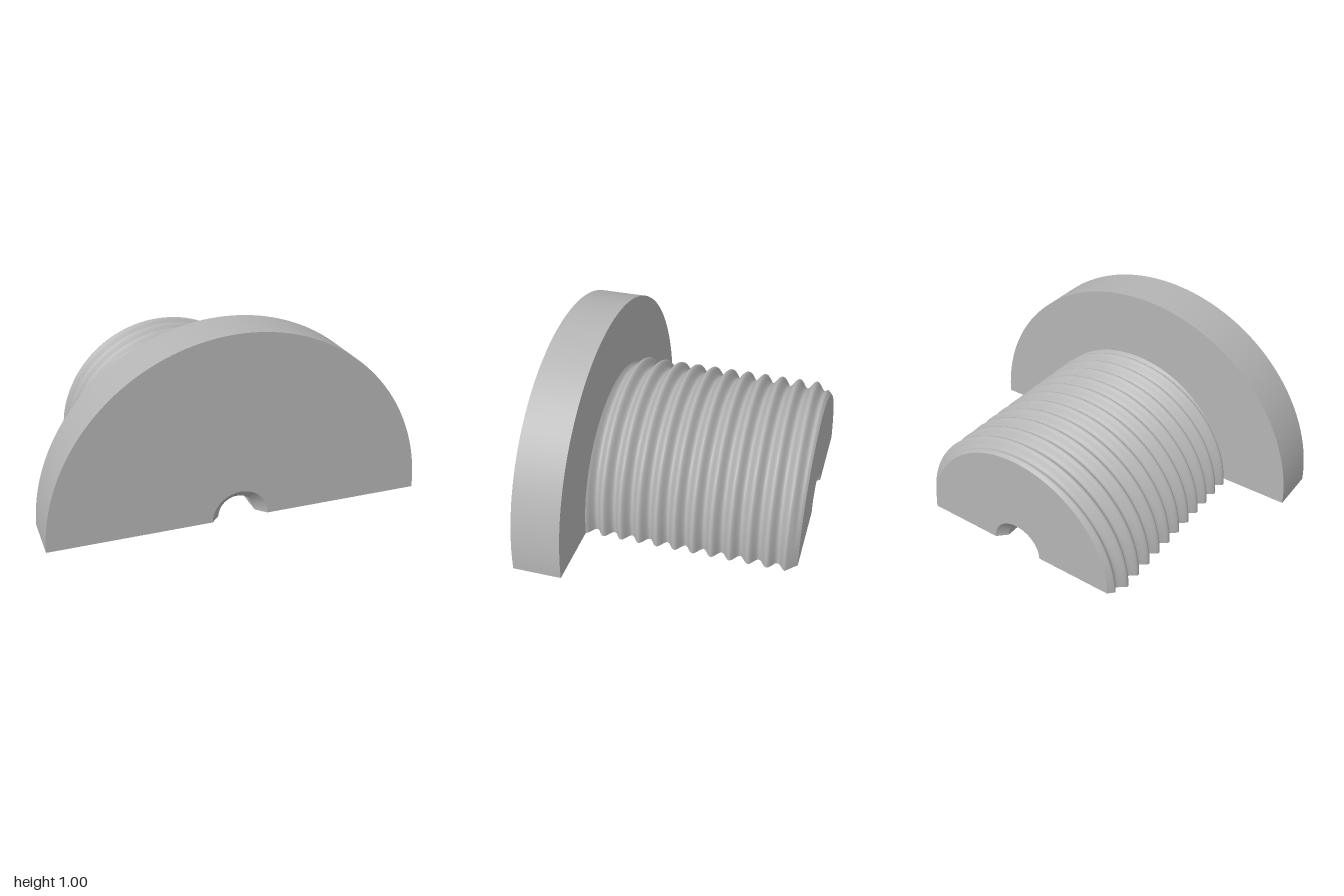
import * as THREE from 'three';
import { toCreasedNormals } from 'three/addons/utils/BufferGeometryUtils.js';

const FRONT = 0.71, BACK = -0.71, SHOULDER = 0.445;
const BORE = 0.1, SINK = 0.15, SINK_DEPTH = 0.05;
const PITCH = 0.1, ROOT = 0.598, DEPTH = 0.047, TIP = 0.585;
const STEPS = 176, SEGMENTS = 96;
const HOLE_X = 0.4, HOLE_Z = -0.13, HOLE_R = 0.065, HOLE_DEPTH = 0.2;

// Helical thread radius, cut by a 45 degree chamfer at the free end
function threadRadius(z, angle) {
  const phase = (z - 0.345) / PITCH - angle / (2 * Math.PI);
  const r = ROOT + DEPTH * (0.5 + 0.5 * Math.cos(2 * Math.PI * phase));
  return Math.min(r, TIP + (z - BACK));
}

const stepZ = i => BACK + (SHOULDER - BACK) * i / STEPS;

// Half turn of an [r, z] profile around the z axis, on the upper side
function halfTurn(points) {
  const g = new THREE.LatheGeometry(points.map(p => new THREE.Vector2(...p)), SEGMENTS, Math.PI / 2, Math.PI);
  return g.rotateX(Math.PI / 2);
}

function threadGeometry() {
  const points = [];
  for (let i = 0; i <= STEPS; i++) points.push([1, stepZ(i)]);
  const g = halfTurn(points), pos = g.attributes.position;
  for (let i = 0; i < pos.count; i++) {
    const angle = Math.atan2(Math.max(0, pos.getY(i)), pos.getX(i));
    const r = threadRadius(pos.getZ(i), angle);
    pos.setXY(i, r * Math.cos(angle), r * Math.sin(angle));
  }
  g.computeVertexNormals();
  return g;
}

// Flat split face on one side of the bore, with the thread outline and a pin hole
function splitFaceGeometry(side) {
  const angle = side > 0 ? 0 : Math.PI;
  const pts = [
    [BORE, BACK + SINK_DEPTH], [BORE, FRONT - SINK_DEPTH], [SINK, FRONT],
    [1, FRONT], [1, SHOULDER],
  ];
  for (let i = STEPS; i >= 0; i--) pts.push([threadRadius(stepZ(i), angle), stepZ(i)]);
  pts.push([SINK, BACK]);
  const shape = new THREE.Shape(pts.map(([x, z]) => new THREE.Vector2(side * x, z)));
  const hole = new THREE.Path();
  hole.absarc(side * HOLE_X, HOLE_Z, HOLE_R, 0, Math.PI * 2, true);
  shape.holes.push(hole);
  return new THREE.ShapeGeometry(shape, 24).rotateX(Math.PI / 2);
}

export function createModel() {
  const group = new THREE.Group();
  const steel = new THREE.MeshStandardMaterial({ color: 0xb4b4b4 });
  steel.name = 'grey steel';
  const add = (name, geometry) => {
    const mesh = new THREE.Mesh(geometry, steel);
    mesh.name = name;
    group.add(mesh);
    return mesh;
  };
  const creased = points => toCreasedNormals(halfTurn(points), 0.5);

  // Head: back shoulder, rim and front face
  add('head', creased([[ROOT, SHOULDER], [1, SHOULDER], [1, FRONT], [SINK, FRONT]]));

  // Threaded shank and its end face
  add('thread', threadGeometry());
  add('shankEnd', creased([[SINK, BACK], [TIP, BACK]]));

  // Central bore, countersunk at both ends
  add('bore', creased([
    [SINK, FRONT], [BORE, FRONT - SINK_DEPTH], [BORE, BACK + SINK_DEPTH], [SINK, BACK],
  ]));

  // Split faces and blind pin holes, one per side
  for (const side of [1, -1]) {
    const label = side > 0 ? 'left' : 'right';
    add(label + 'SplitFace', splitFaceGeometry(side));
    const profile = [[0, HOLE_DEPTH], [HOLE_R, HOLE_DEPTH], [HOLE_R, 0]].map(p => new THREE.Vector2(...p));
    const pinHole = add(label + 'PinHole', toCreasedNormals(new THREE.LatheGeometry(profile, 48), 0.5));
    pinHole.position.set(side * HOLE_X, 0, HOLE_Z);
  }
  return group;
}
